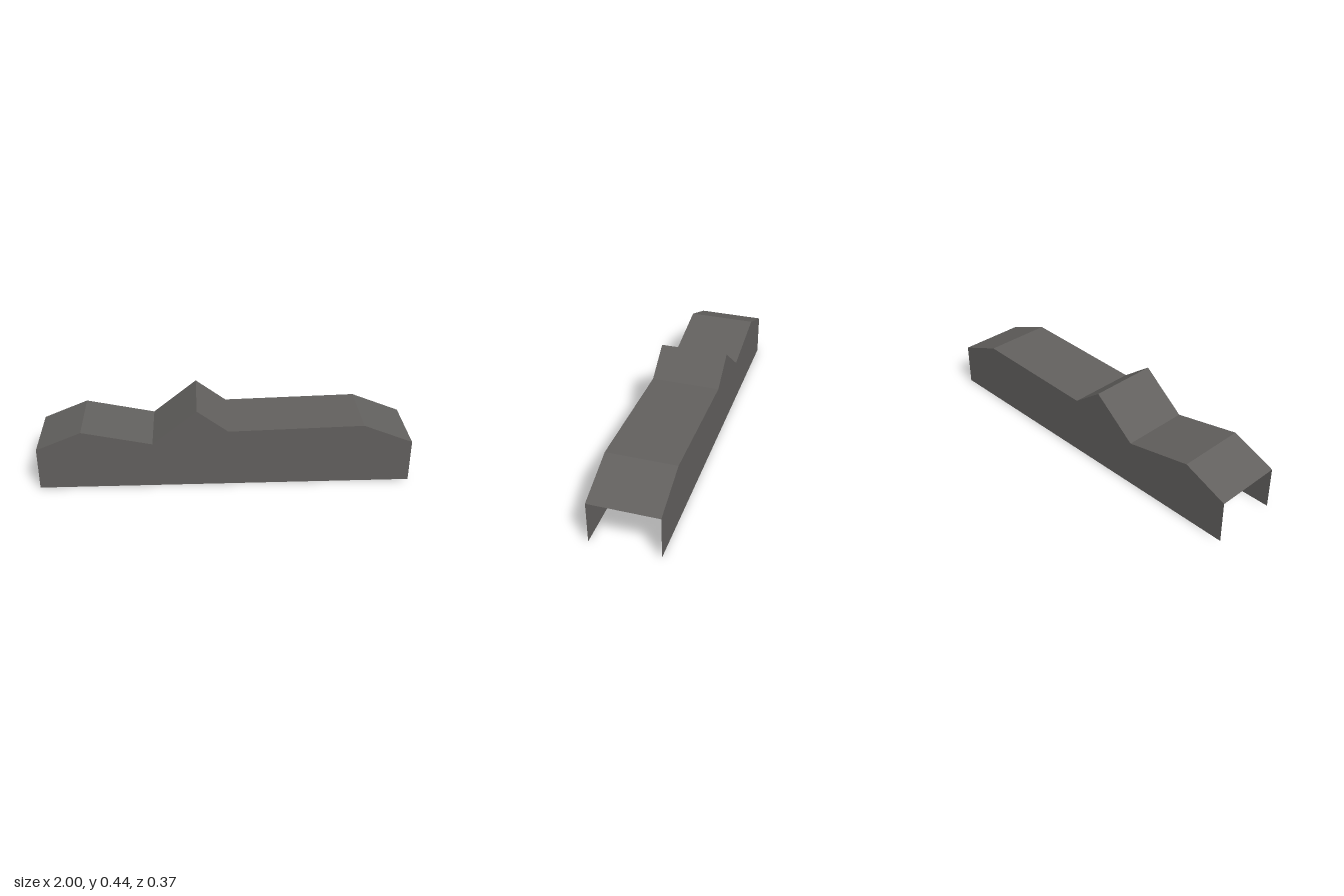
import * as THREE from 'three';

// Roofline seen from the front, left to right
const ROOFLINE = [
  [-1, 0.234], [-0.76, 0.333], [-0.387, 0.255], [-0.15, 0.445],
  [0.015, 0.322], [0.735, 0.34], [1, 0.234],
];
const HALF_DEPTH = 0.185;

export function createModel() {
  const group = new THREE.Group();
  group.name = 'buildingShell';
  const grey = new THREE.MeshStandardMaterial({ color: 0x62605e, side: THREE.DoubleSide });
  grey.name = 'warm grey';

  const add = (name, geometry) => {
    const mesh = new THREE.Mesh(geometry, grey);
    mesh.name = name;
    group.add(mesh);
    return mesh;
  };

  // Flat wall under the roofline; sign mirrors x for the wall turned to the back
  const wall = (sign) => {
    const points = ROOFLINE.map(([x, y]) => new THREE.Vector2(sign * x, y));
    points.push(new THREE.Vector2(sign, 0), new THREE.Vector2(-sign, 0));
    return new THREE.ShapeGeometry(new THREE.Shape(points));
  };
  add('frontWall', wall(1)).position.z = HALF_DEPTH;
  const back = add('backWall', wall(-1));
  back.rotation.y = Math.PI;
  back.position.z = -HALF_DEPTH;

  // Folded roof: one flat strip for each segment; ends and underside stay open
  const vertices = [];
  for (let i = 0; i < ROOFLINE.length - 1; i++) {
    const [x0, y0] = ROOFLINE[i];
    const [x1, y1] = ROOFLINE[i + 1];
    const a = [x0, y0, HALF_DEPTH], b = [x1, y1, HALF_DEPTH];
    const c = [x1, y1, -HALF_DEPTH], d = [x0, y0, -HALF_DEPTH];
    vertices.push(...a, ...b, ...c, ...a, ...c, ...d);
  }
  const roof = new THREE.BufferGeometry();
  roof.setAttribute('position', new THREE.Float32BufferAttribute(vertices, 3));
  roof.computeVertexNormals();
  add('foldedRoof', roof);

  return group;
}
